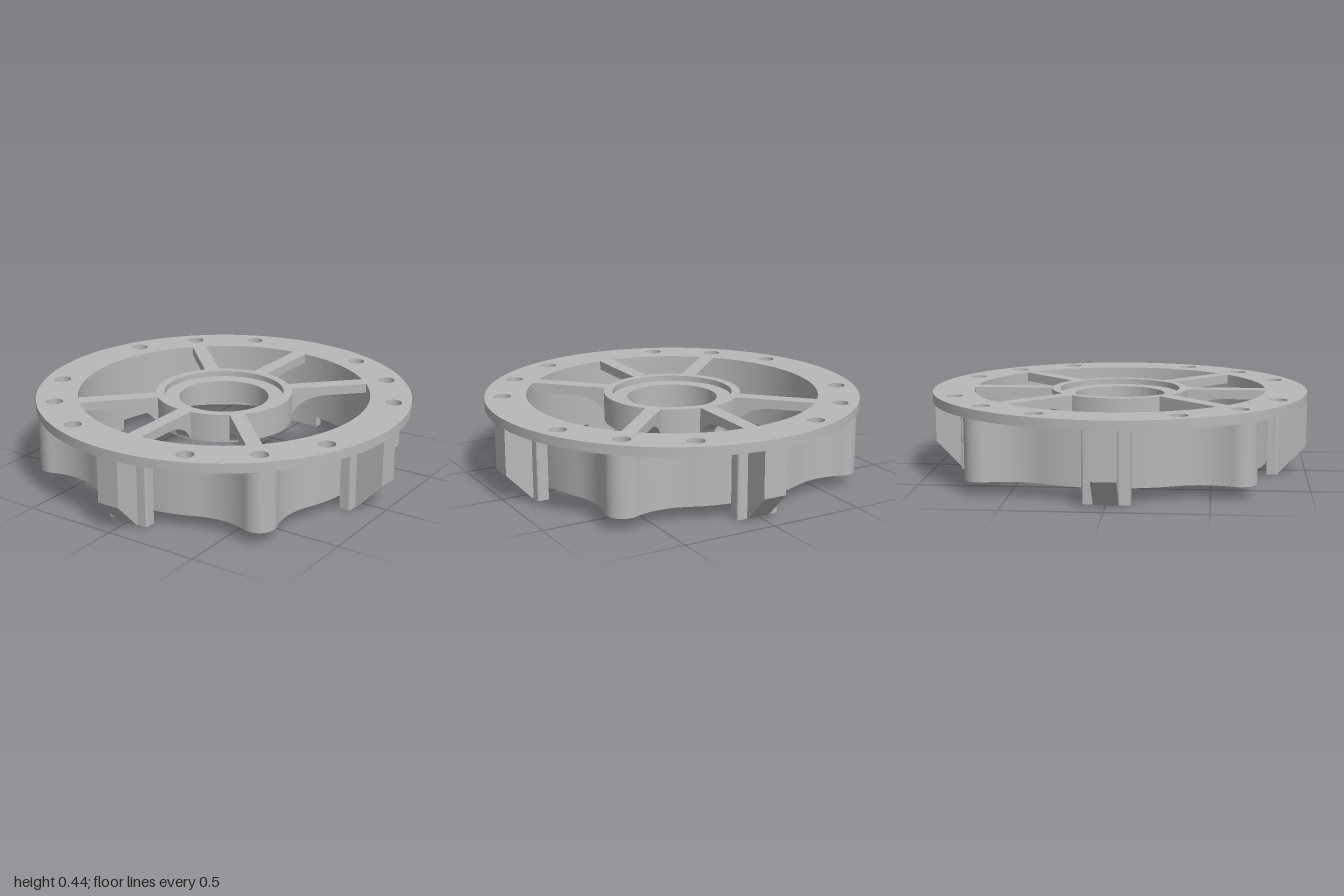
import * as THREE from 'three';
import { toCreasedNormals } from 'three/addons/utils/BufferGeometryUtils.js';

const TAU = Math.PI * 2;
const TOP = 0.44, FLANGE_Y = 0.39, WALL_Y = 0.07;
const INNER_R = 0.78, WALL_R = 0.8, BOLT_R = 0.905, HOLE_R = 0.045;

const metal = new THREE.MeshStandardMaterial({ color: 0xb8b8b8 });
metal.name = 'grey metal';

function part(name, geometry) {
  const mesh = new THREE.Mesh(toCreasedNormals(geometry, 0.5), metal);
  mesh.name = name;
  return mesh;
}

function circleHole(x, y, r) {
  return new THREE.Path().absarc(x, y, r, 0, TAU, true);
}

function boltHole(angle) {
  return circleHole(BOLT_R * Math.cos(angle), BOLT_R * Math.sin(angle), HOLE_R);
}

// Extrude a plan shape upwards between two heights
function slab(shape, y0, y1, curveSegments = 24) {
  const g = new THREE.ExtrudeGeometry(shape, { depth: y1 - y0, bevelEnabled: false, curveSegments });
  return g.rotateX(-Math.PI / 2).translate(0, y0, 0);
}

// Extrude a radius/height profile into a radial web centred on the x axis
function web(shape, width) {
  const g = new THREE.ExtrudeGeometry(shape, { depth: width, bevelEnabled: false, curveSegments: 16 });
  return g.translate(0, 0, -width / 2);
}

// Thin wall outline with four bolt lobes blended in by concave fillets
function wallShape() {
  const boss = 0.088, fillet = 0.36;
  const d = WALL_R + fillet, e = boss + fillet;
  const theta = Math.acos((d * d + BOLT_R * BOLT_R - e * e) / (2 * d * BOLT_R));
  const fx = d * Math.cos(theta), fy = d * Math.sin(theta);
  const touch = Math.atan2(fy, fx - BOLT_R);
  const pts = [];
  const arc = (rot, cx, cy, r, a0, a1, n) => {
    for (let i = 0; i < n; i++) {
      const a = a0 + (a1 - a0) * i / n;
      const p = new THREE.Vector2(cx + r * Math.cos(a), cy + r * Math.sin(a));
      pts.push(p.rotateAround(new THREE.Vector2(), rot));
    }
  };
  for (let k = 0; k < 4; k++) {
    const rot = Math.PI / 4 + k * Math.PI / 2;
    arc(rot, fx, -fy, fillet, Math.PI - theta, Math.PI - touch, 14);
    arc(rot, BOLT_R, 0, boss, -touch, touch, 20);
    arc(rot, fx, fy, fillet, Math.PI + touch, Math.PI + theta, 14);
    arc(rot, 0, 0, WALL_R, theta, Math.PI / 2 - theta, 14);
  }
  const shape = new THREE.Shape(pts);
  shape.holes.push(circleHole(0, 0, INNER_R));
  for (let k = 0; k < 4; k++) shape.holes.push(boltHole(Math.PI / 4 + k * Math.PI / 2));
  return shape;
}

export function createModel() {
  const model = new THREE.Group();
  model.name = 'flanged ring';

  // Flat flange with three bolt holes per quarter
  const flange = new THREE.Shape().absarc(0, 0, 1, 0, TAU, false);
  flange.holes.push(circleHole(0, 0, INNER_R));
  for (let i = 0; i < 16; i++) if (i % 4) flange.holes.push(boltHole(i * TAU / 16));
  model.add(part('flange', slab(flange, FLANGE_Y, TOP, 64)));

  // Lobed skirt under the flange
  model.add(part('skirt', slab(wallShape(), WALL_Y, FLANGE_Y, 64)));

  // Hub with a recessed seat around the bore
  const hub = [
    [0.24, 0.29], [0.365, 0.29], [0.365, TOP], [0.32, TOP],
    [0.32, 0.41], [0.24, 0.41], [0.24, 0.29],
  ].map(([r, y]) => new THREE.Vector2(r, y));
  model.add(part('hub', new THREE.LatheGeometry(hub, 96)));

  // Six spokes, deepening in a curve towards the hub
  const spoke = new THREE.Shape();
  spoke.moveTo(0.34, 0.3);
  spoke.lineTo(0.37, 0.3);
  spoke.quadraticCurveTo(0.42, FLANGE_Y, 0.56, FLANGE_Y);
  spoke.lineTo(0.785, FLANGE_Y);
  spoke.lineTo(0.785, TOP);
  spoke.lineTo(0.34, TOP);
  const spokeGeometry = web(spoke, 0.08);
  for (const degrees of [45, 90, 135, 225, 270, 315]) {
    const mesh = part('spoke', spokeGeometry);
    mesh.rotation.y = THREE.MathUtils.degToRad(degrees);
    model.add(mesh);
  }

  // Four legs: a plate against the skirt and a chamfered gusset outside it
  const half = 0.118, a = Math.asin(half / WALL_R);
  const plate = new THREE.Shape();
  plate.moveTo(0.84, -half);
  plate.quadraticCurveTo(0.852, -half, 0.852, -half + 0.012);
  plate.lineTo(0.852, half - 0.012);
  plate.quadraticCurveTo(0.852, half, 0.84, half);
  plate.lineTo(WALL_R * Math.cos(a), half);
  plate.absarc(0, 0, WALL_R, a, -a, true);
  const gusset = new THREE.Shape([
    [0.83, 0], [0.858, 0], [0.998, 0.145], [0.998, FLANGE_Y], [0.83, FLANGE_Y],
  ].map(([r, y]) => new THREE.Vector2(r, y)));
  const plateGeometry = slab(plate, 0, FLANGE_Y, 12);
  const gussetGeometry = web(gusset, 0.125);
  for (let k = 0; k < 4; k++) {
    const leg = new THREE.Group();
    leg.name = 'leg';
    leg.add(part('legPlate', plateGeometry), part('legGusset', gussetGeometry));
    leg.rotation.y = k * Math.PI / 2;
    model.add(leg);
  }
  return model;
}
